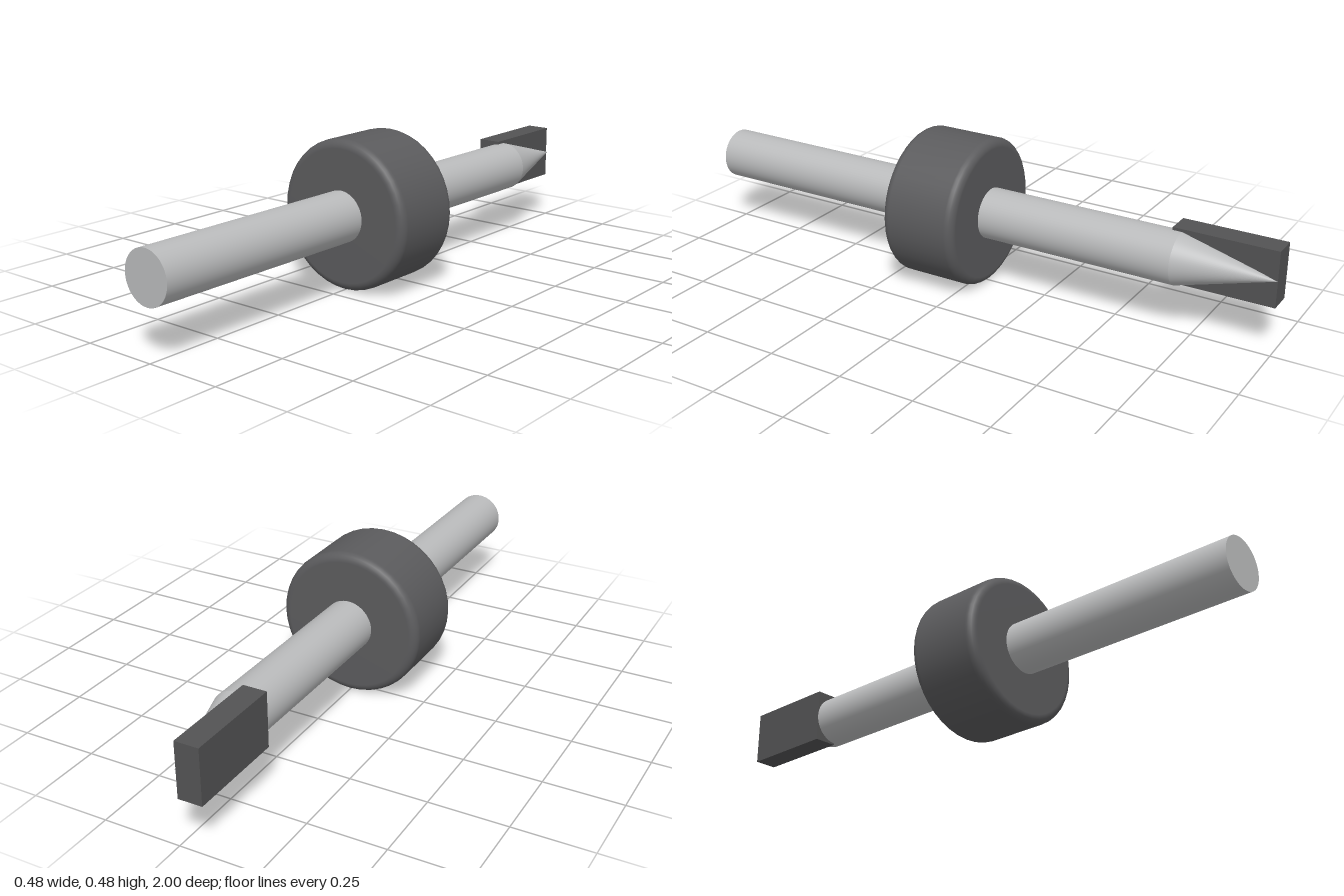
import * as THREE from 'three';

const AXIS_Y = 0.242; // height of the shaft axis

export function createModel() {
  const group = new THREE.Group();
  const lightGrey = new THREE.MeshStandardMaterial({ color: 0xb9babb });
  lightGrey.name = 'lightGrey';
  const darkGrey = new THREE.MeshStandardMaterial({ color: 0x5b5b5d });
  darkGrey.name = 'darkGrey';
  const charcoal = new THREE.MeshStandardMaterial({ color: 0x535354 });
  charcoal.name = 'charcoal';

  const add = (name, geometry, material, x, y, z) => {
    const mesh = new THREE.Mesh(geometry, material);
    mesh.name = name;
    mesh.position.set(x, y, z);
    group.add(mesh);
  };

  // Long round shaft, front end flat
  const r = 0.083;
  add('shaft', new THREE.CylinderGeometry(r, r, 1.7, 64).rotateX(Math.PI / 2), lightGrey, 0, AXIS_Y, 0.15);

  // Pointed tip at the back
  add('tip', new THREE.ConeGeometry(r, 0.3, 64).rotateX(-Math.PI / 2), lightGrey, 0, AXIS_Y, -0.85);

  // Thick wheel with rounded rims
  const radius = 0.242, half = 0.13, bevel = 0.028;
  const profile = [new THREE.Vector2(0, -half)];
  for (const side of [-1, 1]) {
    for (let i = 0; i <= 6; i++) {
      const a = (side < 0 ? i - 6 : i) * Math.PI / 12;
      profile.push(new THREE.Vector2(
        radius - bevel + bevel * Math.cos(a),
        side * (half - bevel) + bevel * Math.sin(a)));
    }
  }
  profile.push(new THREE.Vector2(0, half));
  add('wheel', new THREE.LatheGeometry(profile, 40).rotateX(Math.PI / 2), darkGrey, 0, AXIS_Y, 0.08);

  // Flat block beside the tip
  add('blade', new THREE.BoxGeometry(0.078, 0.18, 0.33), charcoal, -0.044, AXIS_Y + 0.002, -0.835);

  return group;
}
